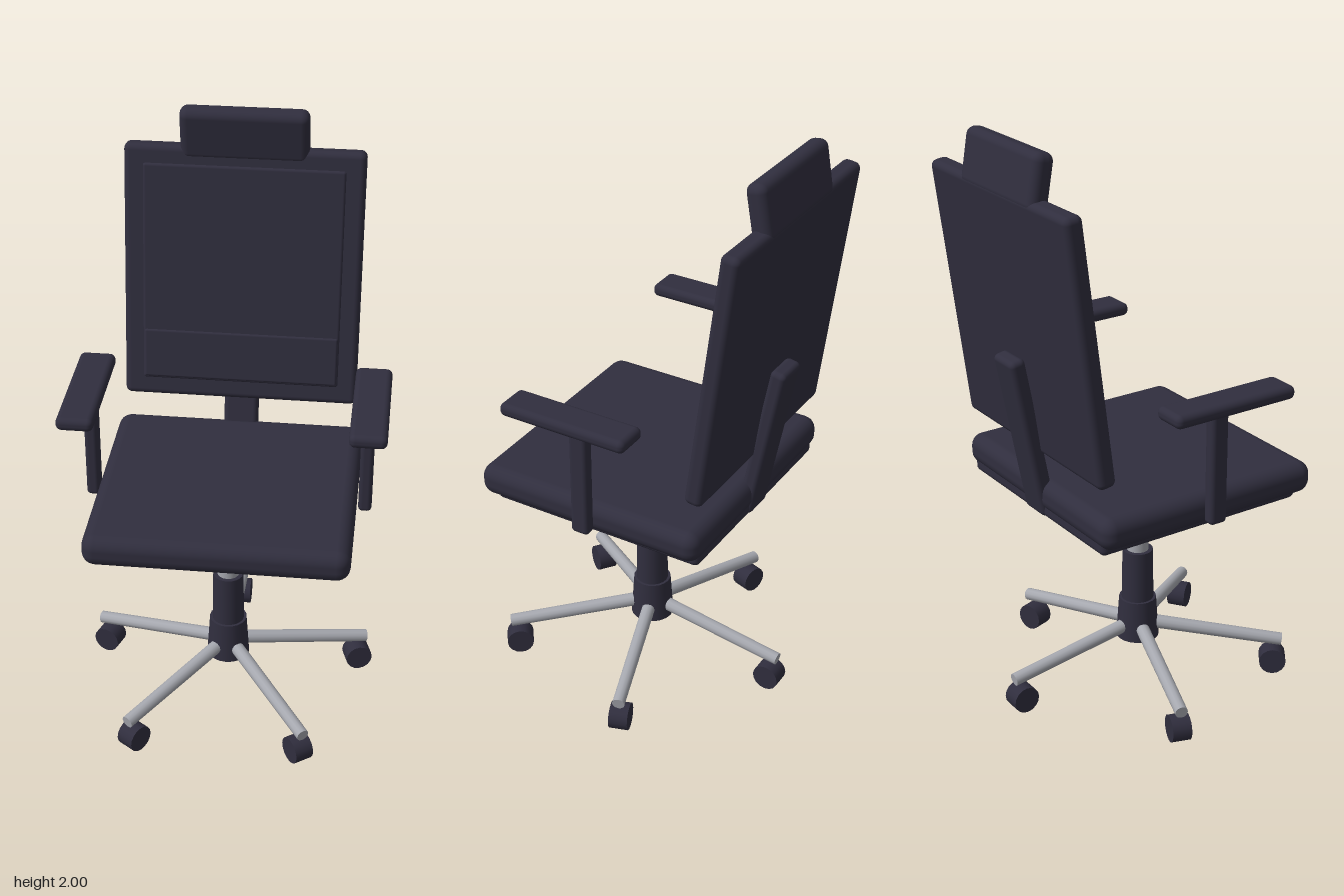
import * as THREE from 'three';
import { RoundedBoxGeometry } from 'three/addons/geometries/RoundedBoxGeometry.js';

const dark = new THREE.MeshStandardMaterial({ color: 0x302e3e });
dark.name = 'dark upholstery';
const silver = new THREE.MeshStandardMaterial({ color: 0xa6a8af });
silver.name = 'silver metal';

const HUB_Z = 0.05;

export function createModel() {
  const chair = new THREE.Group();
  chair.name = 'officeChair';

  const add = (name, geometry, material, x, y, z, parent = chair) => {
    const mesh = new THREE.Mesh(geometry, material);
    mesh.name = name;
    mesh.position.set(x, y, z);
    parent.add(mesh);
    return mesh;
  };
  const pad = (name, w, h, d, r, x, y, z, parent) =>
    add(name, new RoundedBoxGeometry(w, h, d, 3, r), dark, x, y, z, parent);

  // Five-star base with casters, one leg pointing straight back
  for (let i = 0; i < 5; i++) {
    const leg = new THREE.Group();
    leg.name = 'baseLeg' + (i + 1);
    leg.position.z = HUB_Z;
    leg.rotation.y = Math.PI + (i * Math.PI * 2) / 5;
    const from = new THREE.Vector3(0, 0.194, 0.02);
    const to = new THREE.Vector3(0, 0.122, 0.51);
    const spoke = new THREE.CylinderGeometry(0.022, 0.024, from.distanceTo(to), 12);
    const mid = from.clone().lerp(to, 0.5);
    const arm = add('spoke', spoke, silver, mid.x, mid.y, mid.z, leg);
    arm.quaternion.setFromUnitVectors(new THREE.Vector3(0, 1, 0), to.sub(from).normalize());
    const wheel = new THREE.CylinderGeometry(0.047, 0.047, 0.066, 16);
    add('caster', wheel, dark, 0, 0.047, 0.48, leg).rotation.z = Math.PI / 2;
    chair.add(leg);
  }

  // Hub and gas lift column
  add('hub', new THREE.CylinderGeometry(0.065, 0.075, 0.15, 20), dark, 0, 0.215, HUB_Z);
  add('columnSleeve', new THREE.CylinderGeometry(0.053, 0.056, 0.2, 20), dark, 0, 0.377, HUB_Z);
  add('gasLift', new THREE.CylinderGeometry(0.038, 0.038, 0.25, 20), silver, 0, 0.59, HUB_Z);

  // Seat: tilt mechanism, lower shell, cushion and height lever
  pad('tiltMechanism', 0.34, 0.06, 0.43, 0.02, 0, 0.73, 0.015);
  pad('seatShell', 0.8, 0.06, 0.775, 0.02, 0, 0.763, 0.028);
  pad('seatCushion', 0.87, 0.11, 0.83, 0.045, 0, 0.81, 0.047);
  const lever = new THREE.CylinderGeometry(0.011, 0.011, 0.28, 10);
  add('heightLever', lever, dark, 0.24, 0.733, 0.085).rotation.z = Math.PI / 2;

  // Spine bar joining the seat to the backrest
  pad('spine', 0.12, 0.575, 0.055, 0.018, 0, 1.02, -0.391).rotation.x = -0.194;

  // Reclined backrest: frame, front panel and lumbar pad
  const back = new THREE.Group();
  back.name = 'backrest';
  back.position.set(0, 1.412, -0.394);
  back.rotation.x = -0.13;
  chair.add(back);
  pad('backFrame', 0.81, 0.898, 0.065, 0.022, 0, 0, 0, back);
  pad('backPanel', 0.68, 0.77, 0.03, 0.01, 0, 0.002, 0.024, back);
  pad('lumbarPad', 0.67, 0.175, 0.02, 0.008, 0, -0.288, 0.034, back);

  // Headrest leaning forward
  pad('headrest', 0.43, 0.186, 0.07, 0.028, 0, 1.906, -0.436).rotation.x = 0.17;

  // Mirrored armrests
  for (const [side, s] of [['left', 1], ['right', -1]]) {
    pad(side + 'ArmPost', 0.045, 0.4, 0.065, 0.015, s * 0.462, 0.976, 0.032);
    pad(side + 'ArmPad', 0.122, 0.046, 0.46, 0.02, s * 0.468, 1.187, 0.064);
  }
  return chair;
}
